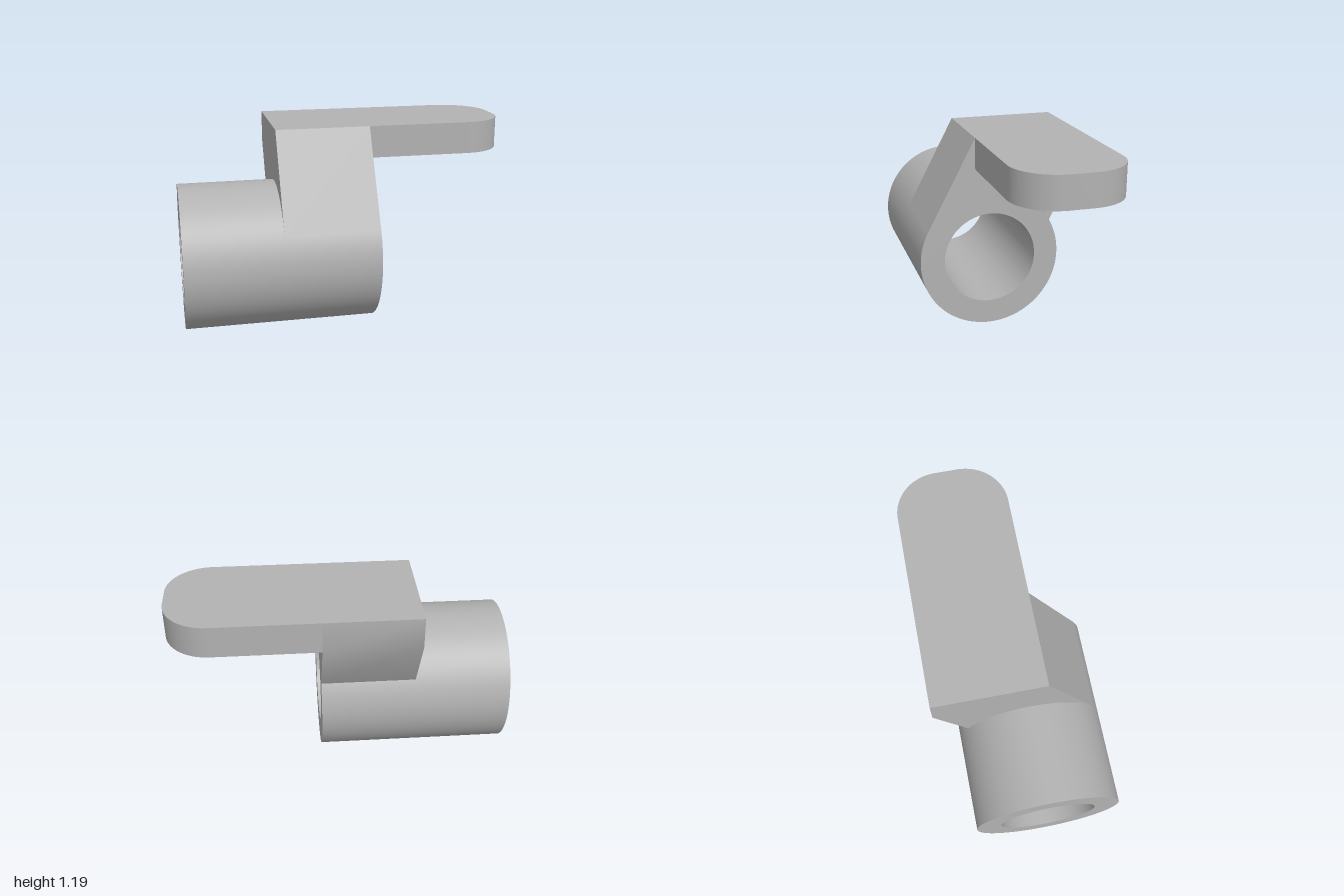
import * as THREE from 'three';
import { toCreasedNormals } from 'three/addons/utils/BufferGeometryUtils.js';

const R = 0.433, BORE = 0.285;       // sleeve radii
const CU = -0.065, CY = 0.433;       // sleeve axis (u = -z, y)
const X0 = -1, X1 = -0.43, X2 = 0.13, X3 = 1;

export function createModel() {
  const model = new THREE.Group();
  const grey = new THREE.MeshStandardMaterial({ color: 0xb2b2b2 });
  grey.name = 'light grey';

  const extrude = (shape, depth) =>
    new THREE.ExtrudeGeometry(shape, { depth, bevelEnabled: false, curveSegments: 64 });

  const add = (name, geometry) => {
    const mesh = new THREE.Mesh(toCreasedNormals(geometry, 0.5), grey);
    mesh.name = name;
    model.add(mesh);
  };

  // Side profile (u = -z, y) swept along x
  const alongX = (shape, from, to) =>
    extrude(shape, to - from).rotateY(Math.PI / 2).translate(from, 0, 0);

  // Hollow sleeve
  const ring = new THREE.Shape().absarc(CU, CY, R, 0, Math.PI * 2, false);
  ring.holes.push(new THREE.Path().absarc(CU, CY, BORE, 0, Math.PI * 2, true));
  add('sleeve', alongX(ring, X0, X2));

  // Slanted web, tangent to the sleeve at the front and seated on its curve
  const backAngle = 0.509, frontAngle = Math.PI - 0.486;
  const web = new THREE.Shape();
  web.moveTo(CU + R * Math.cos(frontAngle), CY + R * Math.sin(frontAngle));
  web.lineTo(-0.155, 1.19);
  web.lineTo(0.5, 1.19);
  web.lineTo(0.5, 1.0);
  web.lineTo(CU + R * Math.cos(backAngle), CY + R * Math.sin(backAngle));
  web.absarc(CU, CY, R, backAngle, frontAngle, false);
  add('web', alongX(web, X1, X2));

  // Overhanging plate with rounded end corners
  const r = 0.26, front = -0.155, back = 0.5;
  const plate = new THREE.Shape();
  plate.moveTo(X2, front);
  plate.lineTo(X3 - r, front);
  plate.absarc(X3 - r, front + r, r, -Math.PI / 2, 0, false);
  plate.lineTo(X3, back - r);
  plate.absarc(X3 - r, back - r, r, 0, Math.PI / 2, false);
  plate.lineTo(X2, back);
  add('plate', extrude(plate, 0.19).rotateX(-Math.PI / 2).translate(0, 1, 0));

  return model;
}
